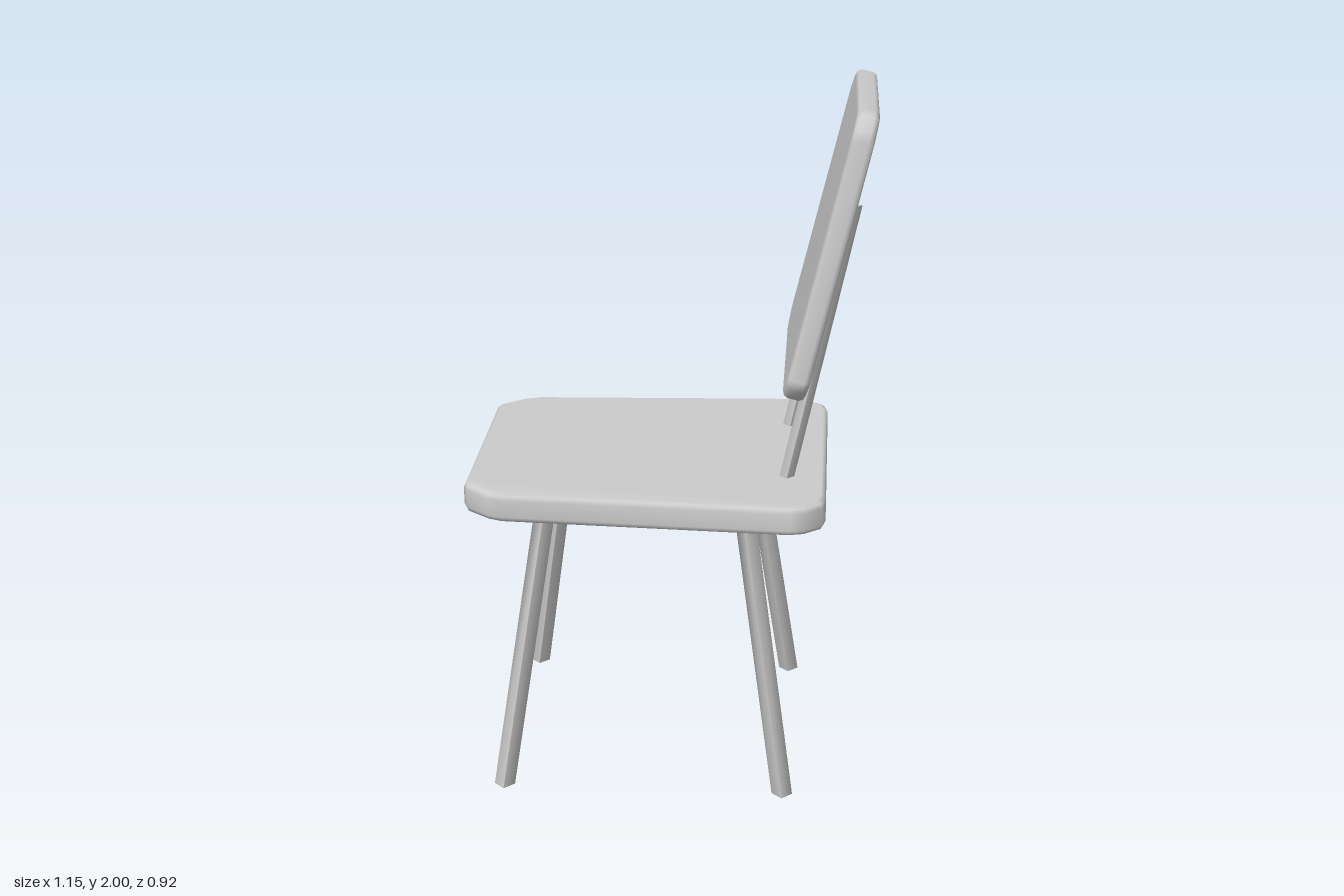
import * as THREE from 'three';

const material = new THREE.MeshStandardMaterial({ color: 0xcccccc });

// Bevelled slab lying flat; the half outline [x, z] is mirrored in z.
function slab(half, thickness, bevel) {
  const outline = [...half, ...half.map(([x, z]) => [x, -z]).reverse()];
  const n = outline.length, h = thickness / 2;
  const maxX = Math.max(...half.map(p => Math.abs(p[0])));
  const maxZ = Math.max(...half.map(p => p[1]));
  const rings = [[-h, bevel], [-h + bevel * 0.3, bevel * 0.3], [-h + bevel, 0],
    [h - bevel, 0], [h - bevel * 0.3, bevel * 0.3], [h, bevel]];
  const positions = [], index = [];
  for (const [y, inset] of rings)
    for (const [x, z] of outline)
      positions.push(x * (1 - inset / maxX), y, z * (1 - inset / maxZ));
  for (let r = 0; r < rings.length - 1; r++)
    for (let i = 0; i < n; i++) {
      const a = r * n + i, b = r * n + (i + 1) % n;
      index.push(a, b, a + n, b, b + n, a + n);
    }
  // Flat caps
  const top = (rings.length - 1) * n;
  for (let i = 1; i < n - 1; i++) {
    index.push(0, i + 1, i);
    index.push(top, top + i, top + i + 1);
  }
  const geometry = new THREE.BufferGeometry();
  geometry.setAttribute('position', new THREE.Float32BufferAttribute(positions, 3));
  geometry.setIndex(index);
  geometry.computeVertexNormals();
  return geometry;
}

// Four-sided rod between two points, with level ends.
function rod(from, to, radius) {
  const height = to[1] - from[1];
  const geometry = new THREE.CylinderGeometry(radius, radius, height, 4);
  const p = geometry.attributes.position;
  for (let i = 0; i < p.count; i++) {
    const t = p.getY(i) / height + 0.5;
    p.setXYZ(i, p.getX(i) + from[0] + (to[0] - from[0]) * t,
      from[1] + height * t, p.getZ(i) + from[2] + (to[2] - from[2]) * t);
  }
  geometry.computeVertexNormals();
  return geometry;
}

export function createModel() {
  const chair = new THREE.Group();
  chair.name = 'chair';
  const add = (name, geometry) => {
    const mesh = new THREE.Mesh(geometry, material);
    mesh.name = name;
    chair.add(mesh);
    return mesh;
  };

  // Seat, slightly wider at the back
  const seat = add('seat', slab([
    [-0.577, 0.318], [-0.566, 0.348], [-0.5, 0.403], [-0.462, 0.418],
    [0.355, 0.461], [0.395, 0.45], [0.442, 0.41], [0.452, 0.372],
  ], 0.086, 0.018));
  seat.position.y = 0.877;

  // Backrest, narrower at the top and leaning back
  const backrest = add('backrest', slab([
    [-0.416, 0.3], [-0.409, 0.325], [-0.37, 0.366], [-0.342, 0.373],
    [0.34, 0.336], [0.367, 0.329], [0.405, 0.295], [0.416, 0.265],
  ], 0.064, 0.016));
  backrest.position.set(0.447, 1.59, 0);
  backrest.rotation.z = Math.PI / 2 - 0.23;

  // Splayed legs and backrest posts, mirrored across the seat
  for (const s of [-1, 1]) {
    const side = s < 0 ? 'Right' : 'Left';
    add('frontLeg' + side, rod([-0.47, 0, 0.41 * s], [-0.347, 0.85, 0.282 * s], 0.03));
    add('rearLeg' + side, rod([0.345, 0, 0.41 * s], [0.219, 0.85, 0.282 * s], 0.03));
    add('backPost' + side, rod([0.326, 0.86, 0.215 * s], [0.51, 1.72, 0.215 * s], 0.021));
  }
  return chair;
}
